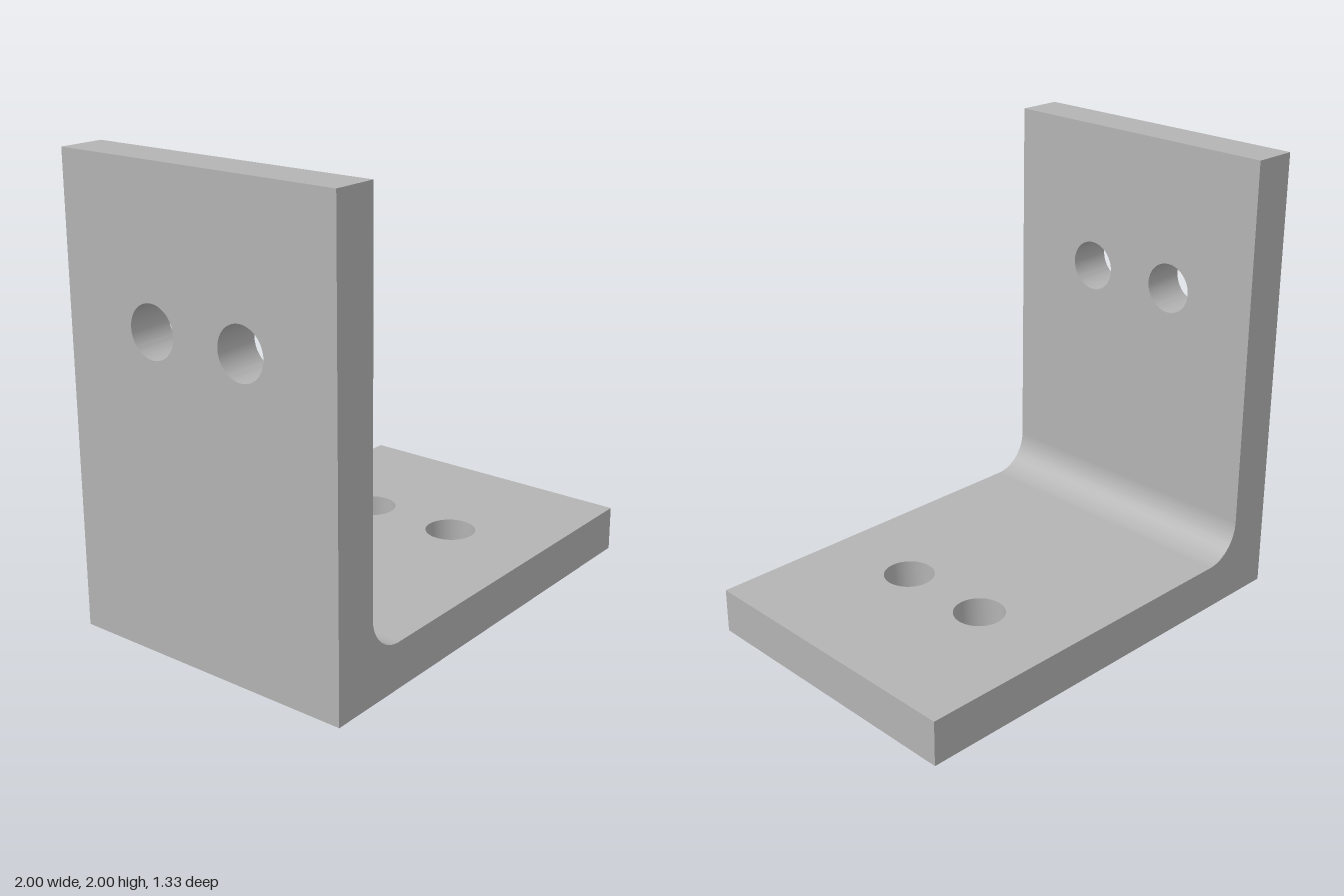
import * as THREE from 'three';
import { toCreasedNormals } from 'three/addons/utils/BufferGeometryUtils.js';

const W = 1.333;        // bracket width along z
const T = 0.2;          // plate thickness
const R = 0.165;        // inner fillet radius
const HOLE_R = 0.111;
const HOLE_Z = 0.222;   // holes sit at +/- this z

function extrude(shape, depth) {
  const geo = new THREE.ExtrudeGeometry(shape, { depth, bevelEnabled: false, curveSegments: 32 });
  return toCreasedNormals(geo, Math.PI / 6);
}

// Rectangle with round holes cut through it
function plateShape(x0, y0, x1, y1, holes) {
  const s = new THREE.Shape();
  s.moveTo(x0, y0).lineTo(x1, y0).lineTo(x1, y1).lineTo(x0, y1).closePath();
  for (const [x, y] of holes) {
    const h = new THREE.Path();
    h.absarc(x, y, HOLE_R, 0, Math.PI * 2, true);
    s.holes.push(h);
  }
  return s;
}

export function createModel() {
  const group = new THREE.Group();
  const metal = new THREE.MeshStandardMaterial({ color: 0xb3b3b3 });
  metal.name = 'grey metal';
  const add = (name, geo) => {
    const mesh = new THREE.Mesh(geo, metal);
    mesh.name = name;
    group.add(mesh);
  };
  const inX = -1 + T, inY = T;   // inner faces of the two plates

  // Upright plate, drawn in z/y and extruded along x
  const upright = extrude(
    plateShape(-W / 2, inY + R, W / 2, 2, [[-HOLE_Z, 1.35], [HOLE_Z, 1.35]]), T);
  upright.rotateY(Math.PI / 2).translate(-1, 0, 0);
  add('uprightPlate', upright);

  // Base plate, drawn in x/z and extruded upward
  const base = extrude(
    plateShape(inX + R, -W / 2, 1, W / 2, [[0.345, -HOLE_Z], [0.345, HOLE_Z]]), T);
  base.rotateX(-Math.PI / 2);
  add('basePlate', base);

  // Corner with the rounded inner fillet
  const c = new THREE.Shape();
  c.moveTo(-1, 0).lineTo(inX + R, 0).lineTo(inX + R, inY);
  c.absarc(inX + R, inY + R, R, Math.PI * 1.5, Math.PI, true);
  c.lineTo(-1, inY + R).closePath();
  const corner = extrude(c, W);
  corner.translate(0, 0, -W / 2);
  add('filletCorner', corner);

  return group;
}
